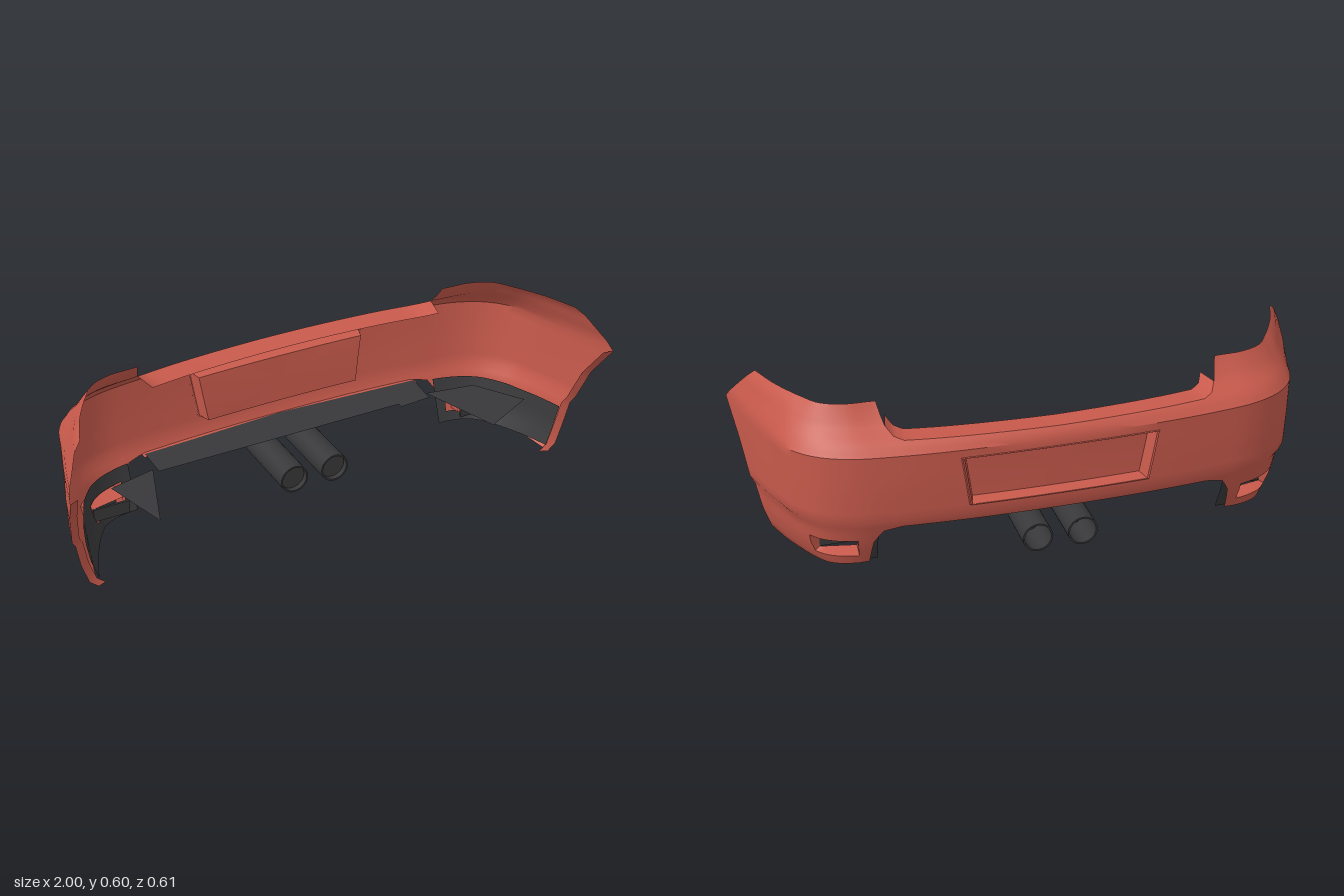
import * as THREE from 'three';
import { toCreasedNormals } from 'three/addons/utils/BufferGeometryUtils.js';

const RED = new THREE.MeshStandardMaterial({ color: 0xc85a4c, side: THREE.DoubleSide });
const DARK = new THREE.MeshStandardMaterial({ color: 0x38383a, side: THREE.DoubleSide });
const V = (x, y, z) => new THREE.Vector3(x, y, z);

function lerpTable(table, t) {
  for (let i = 1; i < table.length; i++) if (t <= table[i][0]) {
    const [a, p] = table[i - 1], [b, q] = table[i];
    return p + (q - p) * (t - a) / (b - a);
  }
  return table[table.length - 1][1];
}

// Widest plan curve of half the bumper: [x, z] at nine stations, centre to wheel arch
const PLAN = [[0, -.303], [.335, -.296], [.57, -.275], [.70, -.25], [.80, -.20], [.87, -.12], [.91, 0], [.955, .14], [1, .305]];

// Vertical profile: height, shift of z at stations 0, 2, 5, 8, then inset of x at stations 5, 8
const PROFILE = [
  [0, .10, .105, .04, -.159, .09, .13],
  [.025, .09, .095, .035, -.159, .07, .10],
  [.10, .06, .06, .025, -.158, .04, .075],
  [.19, .028, .025, .015, -.148, .025, .057],
  [.215, .017, .015, .005, -.137, .01, .043],
  [.34, .007, .005, 0, -.085, .005, .023],
  [.46, 0, 0, 0, 0, 0, 0],
  [.49, .015, .025, .02, -.028, .01, .01],
  [.53, .053, .085, .05, -.062, .025, .035],
  [.57, .093, .115, .07, -.098, .045, .06],
  [.60, .113, .133, .08, -.12, .07, .09],
];

// Plan curve at each height; station 1 narrows downward to slant the plate opening
const LEVELS = PROFILE.map(([y, z0, z2, z5, z8, x5, x8]) => ({
  y,
  x: PLAN.map(([x], i) => x - lerpTable([[0, 0], [2, 0], [5, x5], [8, x8]], i) - (i === 1 ? .15 * Math.max(0, .46 - y) : 0)),
  z: PLAN.map(([, z], i) => z + lerpTable([[0, z0], [2, z2], [5, z5], [8, z8]], i)),
}));

const topEdge = u => lerpTable([[0, .495], [1.7, .498], [1.85, .508], [1.95, .53], [2, .56], [2.05, .598]], Math.abs(u));
const bottomEdge = u => lerpTable([[0, .185], [1.8, .185], [2.1, .17], [2.3, .12], [2.4, .025], [6, .018], [8, 0]], Math.abs(u));

// Smooth spline through the stations of one plan curve
function spline(a, t, mirrorSign) {
  const i = Math.min(7, Math.floor(t)), f = t - i;
  const p1 = a[i], p2 = a[i + 1];
  const p0 = i ? a[i - 1] : mirrorSign * a[1], p3 = i < 7 ? a[i + 2] : 2 * p2 - p1;
  return p1 + .5 * f * (p2 - p0 + f * (2 * p0 - 5 * p1 + 4 * p2 - p3 + f * (3 * (p1 - p2) + p3 - p0)));
}

// Point on the skin: u runs -8..8 across the car, y is height
function skinPoint(u, y) {
  let k = 1;
  while (k < LEVELS.length - 1 && y > LEVELS[k].y) k++;
  const A = LEVELS[k - 1], B = LEVELS[k], f = (y - A.y) / (B.y - A.y), a = Math.abs(u);
  const mix = (c, s) => THREE.MathUtils.lerp(spline(A[c], a, s), spline(B[c], a, s), f);
  return V(Math.sign(u) * mix('x', -1), y, mix('z', 1));
}

// Surface through a grid of points, leaving out skipped cells and empty triangles
function gridGeometry(rows, skip = () => false) {
  const pos = [], tri = new THREE.Triangle();
  const add = (a, b, c) => {
    if (tri.set(a, b, c).getArea() > 1e-8) for (const p of [a, b, c]) pos.push(p.x, p.y, p.z);
  };
  for (let j = 0; j < rows.length - 1; j++) for (let i = 0; i < rows[j].length - 1; i++) {
    if (skip(i, j)) continue;
    const a = rows[j][i], b = rows[j][i + 1], c = rows[j + 1][i + 1], d = rows[j + 1][i];
    add(a, c, b);
    add(a, d, c);
  }
  const g = new THREE.BufferGeometry();
  g.setAttribute('position', new THREE.Float32BufferAttribute(pos, 3));
  return toCreasedNormals(g, .6);
}

// Flat horizontal sheet from [x, z] corners
function sheet(corners, y) {
  const g = new THREE.ShapeGeometry(new THREE.Shape(corners.map(([x, z]) => new THREE.Vector2(x, -z))));
  return g.rotateX(-Math.PI / 2).translate(0, y, 0);
}

export function createModel() {
  const model = new THREE.Group();
  const add = (name, geometry, material) => {
    const m = new THREE.Mesh(geometry, material);
    m.name = name;
    model.add(m);
    return m;
  };

  // Columns are dense at the boot notch; rows follow the creases and openings
  const half = [];
  for (let i = 0; i < 7; i++) half.push(i * .25);
  for (let i = 0; i < 15; i++) half.push(1.7 + i * .05);
  for (let i = 1; i <= 28; i++) half.push(2.4 + i * .2);
  const us = [...half.slice(1).reverse().map(u => -u), ...half];
  const ys = [0, .025, .06, .1, .13, .16, .19, .215, .25, .3, .34, .4, .43, .46, .475, .49, .51, .53, .55, .57, .585, .6];
  const clipped = (u, y) => THREE.MathUtils.clamp(y, bottomEdge(u), topEdge(u));
  const inSlot = (u, y) => Math.abs(u) > 2.8 && Math.abs(u) < 4.6 && y > .06 && y < .13;
  const inPlate = (u, y) => Math.abs(u) < 1 && y > .25 && y < .43;

  // Outer skin with openings for the plate and the corner slots
  add('bumperSkin', gridGeometry(ys.map(y => us.map(u => skinPoint(u, clipped(u, y)))), (i, j) => {
    const u = (us[i] + us[i + 1]) / 2, y = (ys[j] + ys[j + 1]) / 2;
    return inSlot(u, y) || inPlate(u, y);
  }), RED);

  // Ledge under the boot lid
  const lip = us.filter(u => Math.abs(u) < 1.96).map(u => skinPoint(u, topEdge(u)));
  add('bootLedge', gridGeometry([lip, lip.map(p => V(p.x * .97, p.y - .004, p.z + .085))]), RED);

  // Folded lower edge
  const sill = us.filter(u => Math.abs(u) < 1.9).map(u => skinPoint(u, bottomEdge(u)));
  add('lowerFold', gridGeometry([sill, sill.map(p => V(p.x, p.y, p.z + .025))]), RED);

  // Recess for the plate, with a slight raised rim
  const across = us.filter(u => Math.abs(u) <= 1);
  const rim = [...across.map(u => skinPoint(u, .43)), skinPoint(1, .34),
    ...across.map(u => skinPoint(-u, .25)), skinPoint(-1, .34)];
  rim.push(rim[0]);
  const shrink = (s, z) => rim.map(p => V(p.x * s, .34 + (p.y - .34) * s, p.z + z));
  add('plateRecess', gridGeometry([shrink(1.02, .001), shrink(1.01, -.006), shrink(.99, -.004),
    shrink(.95, .045), rim.map(() => V(0, .34, -.25))]), RED);

  for (const s of [-1, 1]) {
    const side = s > 0 ? 'left' : 'right';

    // Tapered housing behind each corner slot
    const slotU = half.filter(u => u > 2.79 && u < 4.61);
    const ring = [...slotU.map(u => [u, .13]), [4.6, .1], ...slotU.slice().reverse().map(u => [u, .06]), [2.8, .1], [2.8, .13]];
    const outer = ring.map(([u, y]) => skinPoint(s * u, y));
    const inner = ring.map(([u, y]) => {
      const t = (u - 2.8) / 1.8;
      return V(s * (.66 + t * .12), .07 + (y - .06) * .64, -.135 + t * .025);
    });
    add(side + 'SlotHousing', gridGeometry([outer, inner]), RED);
    add(side + 'SlotGrille', new THREE.BoxGeometry(.13, .048, .008), DARK).position.set(s * .715, .094, -.105);

    // Return flange along the wheel arch
    const arch = ys.filter(y => y <= .46).map(y => skinPoint(s * 8, y));
    add(side + 'ArchFlange', gridGeometry([arch, arch.map(p => V(p.x - s * .03, p.y, p.z - .012))]), RED);

    // Dark liner inside the lower corner
    const linerU = us.filter(u => u * s > 2.39 && u * s < 7.95);
    const linerY = [.025, .06, .1, .13, .18];
    add(side + 'CornerLiner', gridGeometry(linerY.map(y => linerU.map(u => {
      const p = skinPoint(u, y);
      return V(p.x - s * .03, p.y, p.z + .015);
    })), (i, j) => inSlot((linerU[i] + linerU[i + 1]) / 2, (linerY[j] + linerY[j + 1]) / 2)), DARK);

    // Exhaust pipe, hollow at both ends with a wall inside
    const pipe = new THREE.LatheGeometry([[0, .02], [.046, .02], [.046, 0], [.052, 0], [.052, .287], [.046, .287], [.046, .16], [0, .16]]
      .map(([r, h]) => new THREE.Vector2(r, h)), 24);
    pipe.rotateX(-Math.PI / 2);
    add(side + 'Exhaust', toCreasedNormals(pipe, .6), DARK).position.set(s * .078, .085, 0);
  }

  // Horizontal dark sheets under the bumper
  add('underTray', sheet([[-.53, -.24], [0, -.268], [.53, -.24], [.52, -.11], [.4, -.1], [.4, -.12], [-.53, -.12]], .187), DARK);
  add('rightShield', sheet([[-.54, -.15], [-.71, -.11], [-.64, .14]], .18), DARK);
  add('leftShield', sheet([[.53, -.15], [.71, -.12], [.82, .05], [.63, .145]], .18), DARK);

  return model;
}
